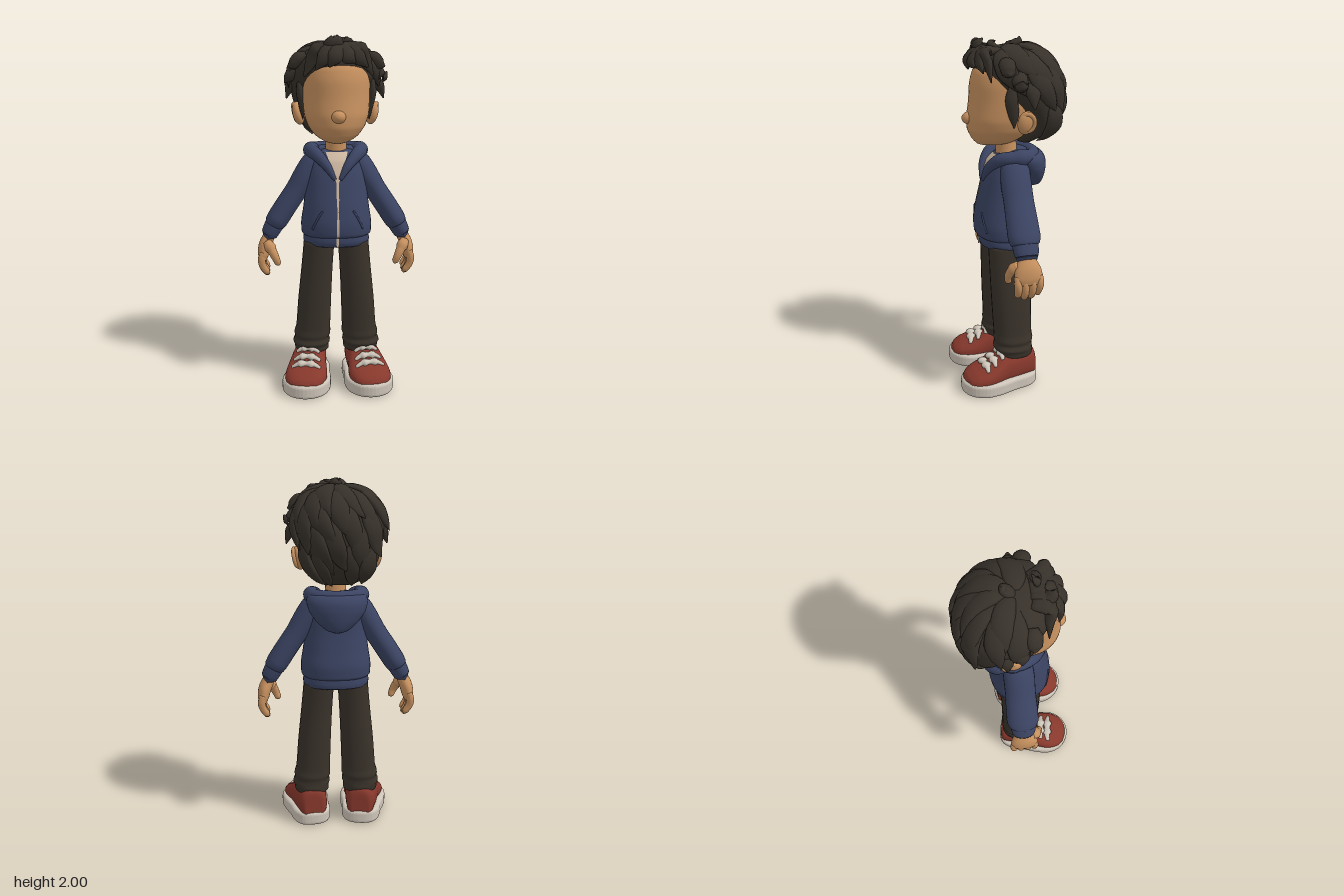
import * as THREE from 'three';

const mat = (name, color) => Object.assign(new THREE.MeshStandardMaterial({ color }), { name });
const V = (x, y, z) => new THREE.Vector3(x, y, z);

// Smooth curves through sections [x, y, z, a, b]
const curves = (secs) => ({
  path: new THREE.CatmullRomCurve3(secs.map(s => V(s[0], s[1], s[2]))),
  size: new THREE.CatmullRomCurve3(secs.map(s => V(s[3], s[4] ?? s[3], 0))),
});

// Skin a closed form over elliptical sections; a runs along "side", b across it.
// With an axis given, all rings stay square to it instead of following the path.
function sweep(secs, { side = V(1, 0, 0), axis, p = 2, step = 5, seg = 24 } = {}) {
  const { path, size } = curves(secs), n = (secs.length - 1) * step;
  const pos = [], idx = [];
  for (let i = 0; i <= n; i++) {
    const c = path.getPoint(i / n), r = size.getPoint(i / n);
    const T = axis ?? path.getTangent(i / n);
    const N = T.clone().cross(side).normalize(), S = N.clone().cross(T).normalize();
    for (let j = 0; j < seg; j++) {
      const q = j / seg * Math.PI * 2, k = (v) => Math.sign(v) * Math.abs(v) ** (2 / p);
      const v = c.clone().addScaledVector(S, Math.max(r.x, 0.001) * k(Math.cos(q)))
        .addScaledVector(N, Math.max(r.y, 0.001) * k(Math.sin(q)));
      pos.push(v.x, v.y, v.z);
      const a = i * seg + j, b = i * seg + (j + 1) % seg;
      if (i < n) idx.push(a, b, a + seg, b, b + seg, a + seg);
    }
  }
  const bottom = pos.length / 3, top = bottom + 1;
  for (const t of [0, 1]) pos.push(...path.getPoint(t).toArray());
  for (let j = 0; j < seg; j++) {
    const k = (j + 1) % seg;
    idx.push(bottom, k, j, top, n * seg + j, n * seg + k);
  }
  const g = new THREE.BufferGeometry();
  g.setAttribute('position', new THREE.Float32BufferAttribute(pos, 3));
  g.setIndex(idx);
  g.computeVertexNormals();
  return g;
}

// Upright section from height, half width, front z, back z and centre x
const level = ([y, rx, zf, zb, cx = 0]) => [cx, y, (zf + zb) / 2, rx, (zf - zb) / 2];
const mirror = (secs, s) => secs.map(([x, ...rest]) => [s * x, ...rest]);
const UP = V(0, 1, 0), AHEAD = V(0, 0, 1);

export function createModel() {
  const skin = mat('skin', 0xc7915f), hairMat = mat('hair', 0x37312a), cloth = mat('hoodie', 0x3b4463);
  const trouser = mat('trousers', 0x39322a), red = mat('shoe red', 0x87382c);
  const white = mat('rubber white', 0xcdc4b8), cream = mat('shirt cream', 0xcfb9a2);
  const model = new THREE.Group();
  const add = (name, geo, material, parent = model) => {
    const m = new THREE.Mesh(geo, material);
    m.name = name;
    parent.add(m);
    return m;
  };
  const group = (name) => { const g = new THREE.Group(); g.name = name; model.add(g); return g; };
  const ball = (name, rx, ry, rz, material) =>
    add(name, new THREE.SphereGeometry(1, 24, 16).scale(rx, ry, rz), material);

  // Head, nose and neck
  add('head', sweep([[1.418, 0.03, 0.15, 0.04], [1.428, 0.07, 0.178, -0.02], [1.46, 0.12, 0.208, -0.08],
    [1.51, 0.157, 0.23, -0.12], [1.57, 0.178, 0.232, -0.14], [1.64, 0.185, 0.222, -0.17], [1.74, 0.186, 0.214, -0.18],
    [1.82, 0.175, 0.195, -0.17], [1.89, 0.12, 0.13, -0.12], [1.91, 0.04, 0.04, -0.04]].map(level),
  { axis: UP, seg: 40 }), skin);
  ball('nose', 0.04, 0.036, 0.045, skin).position.set(0, 1.57, 0.215);
  add('neck', sweep([[0, 1.3, 0.01, 0.075], [0, 1.36, 0.01, 0.06], [0, 1.47, 0.015, 0.058]]), skin);

  // Hoodie body with its hem band
  const torso = [[0.885, 0.175, 0.16, -0.135], [0.905, 0.198, 0.19, -0.152], [0.96, 0.2, 0.197, -0.155],
    [1.05, 0.187, 0.187, -0.14], [1.15, 0.175, 0.165, -0.125], [1.25, 0.165, 0.14, -0.12],
    [1.32, 0.148, 0.113, -0.115], [1.365, 0.1, 0.075, -0.1], [1.38, 0.05, 0.04, -0.06]].map(level);
  add('hoodieBody', sweep(torso, { axis: UP, p: 2.3, seg: 40 }), cloth);
  add('hoodieHem', sweep([[0.835, 0.17, 0.15, -0.125], [0.842, 0.184, 0.166, -0.142], [0.865, 0.189, 0.175, -0.146],
    [0.89, 0.186, 0.175, -0.144], [0.91, 0.17, 0.16, -0.13]].map(level), { axis: UP, p: 2.3, seg: 40 }), cloth);

  // Depth of the hoodie front at a given point
  const shape = curves(torso);
  const frontZ = (x, y) => {
    let lo = 0, hi = 1;
    for (let i = 0; i < 24; i++) {
      const m = (lo + hi) / 2;
      if (shape.path.getPoint(m).y < y) lo = m; else hi = m;
    }
    const r = shape.size.getPoint(lo);
    return shape.path.getPoint(lo).z + r.y * Math.max(0, 1 - Math.abs(x / r.x) ** 2.3) ** (1 / 2.3);
  };
  // Thin panel hugging the hoodie front
  const panel = (name, y0, y1, halfWidth, material, lift) => {
    const g = new THREE.PlaneGeometry(1, 1, 6, 24), a = g.attributes.position;
    for (let i = 0; i < a.count; i++) {
      const v = a.getY(i) + 0.5, x = a.getX(i) * 2 * halfWidth(v), y = y0 + (y1 - y0) * v;
      a.setXYZ(i, x, y, frontZ(x, y) + lift);
    }
    g.computeVertexNormals();
    add(name, g, material);
  };
  panel('shirt', 1.2, 1.365, v => 0.006 + 0.055 * v, cream, 0.006);
  panel('zip', 0.9, 1.22, v => 0.007 - 0.004 * Math.exp(-(((v - 0.45) / 0.12) ** 2)), cream, 0.005);
  add('zipEnd', new THREE.BoxGeometry(0.014, 0.065, 0.008).translate(0, 0.873, 0.174), cream);

  // Collar roll and the hood hanging behind
  const half = [[0.014, 1.22, 0.152, 0.01], [0.06, 1.295, 0.128, 0.026], [0.113, 1.352, 0.075, 0.036],
    [0.138, 1.362, 0, 0.04], [0.118, 1.362, -0.09, 0.04]];
  add('collar', sweep([...half, [0, 1.36, -0.135, 0.04], ...mirror(half, -1).reverse()],
    { side: UP, seg: 16 }), cloth);
  add('hood', sweep([[1.165, 0.02, -0.1, -0.15], [1.18, 0.06, -0.07, -0.185], [1.23, 0.118, -0.04, -0.203],
    [1.29, 0.158, -0.01, -0.21], [1.34, 0.17, 0.02, -0.205], [1.375, 0.155, 0.02, -0.18],
    [1.385, 0.09, 0, -0.13]].map(level), { axis: UP, seg: 36 }), cloth);

  for (const s of [1, -1]) {
    const tag = s > 0 ? 'left' : 'right', Z = { side: AHEAD };

    // Ear with a soft raised rim, leaning out at the top
    const ear = ball(tag + 'Ear', 0.032, 0.066, 0.052, skin);
    ear.position.set(s * 0.208, 1.57, -0.045);
    ear.rotation.set(0, s * 0.25, -s * 0.2);
    const rim = add(tag + 'EarRim', new THREE.TorusGeometry(0.038, 0.011, 10, 28).scale(1, 1.25, 1), skin);
    rim.position.set(s * 0.224, 1.573, -0.047);
    rim.rotation.set(0, s * (Math.PI / 2 - 0.25), -s * 0.2, 'ZYX');

    // Pocket welt
    add(tag + 'Pocket', sweep([[0.085, 1.05], [0.115, 1.0], [0.14, 0.945]].map(([x, y]) =>
      [s * x, y, frontZ(x, y), 0.006, 0.006]), { seg: 8 }), cloth);

    // Sleeve, gathered above a cuff
    add(tag + 'Sleeve', sweep(mirror([[0.08, 1.34, -0.01, 0.05, 0.03], [0.125, 1.305, -0.005, 0.08, 0.062],
      [0.17, 1.23, 0, 0.085, 0.068], [0.225, 1.14, 0, 0.084, 0.063], [0.285, 1.05, 0, 0.088, 0.063],
      [0.33, 0.98, 0, 0.09, 0.063], [0.352, 0.945, 0, 0.08, 0.058], [0.36, 0.93, 0, 0.05, 0.04]], s), Z), cloth);
    add(tag + 'Cuff', sweep(mirror([[0.345, 0.955, 0, 0.06, 0.045], [0.352, 0.943, 0, 0.072, 0.054],
      [0.375, 0.9, 0, 0.068, 0.05], [0.385, 0.882, 0, 0.06, 0.045], [0.383, 0.886, 0, 0.045, 0.035]], s), Z), cloth);

    // Hand: palm, four curled fingers and a thumb
    const hand = group(tag + 'Hand');
    add('palm', sweep(mirror([[0.365, 0.92, 0, 0.04, 0.032], [0.386, 0.87, 0, 0.05, 0.034],
      [0.408, 0.82, 0, 0.073, 0.037], [0.418, 0.775, 0, 0.08, 0.034], [0.422, 0.74, 0, 0.07, 0.024]], s), Z), skin, hand);
    for (const [z, drop] of [[-0.062, 0.02], [-0.022, 0.005], [0.02, 0], [0.06, 0.015]])
      add('finger', sweep(mirror([[0.418, 0.79, z, 0.018], [0.428, 0.745, z, 0.022], [0.422, 0.695 + drop, z * 0.95, 0.021],
        [0.4, 0.66 + drop, z * 0.9, 0.019], [0.388, 0.648 + drop, z * 0.9, 0.009]], s), { ...Z, seg: 12 }), skin, hand);
    add('thumb', sweep(mirror([[0.395, 0.845, 0.045, 0.026], [0.368, 0.805, 0.08, 0.026], [0.348, 0.765, 0.093, 0.022],
      [0.335, 0.733, 0.09, 0.018], [0.331, 0.722, 0.088, 0.008]], s), { ...Z, seg: 14 }), skin, hand);

    // Trouser leg with folds gathered at the ankle
    add(tag + 'TrouserLeg', sweep(mirror([[0.185, 0.085, 0.09, -0.085, 0.142], [0.195, 0.1, 0.11, -0.1, 0.143],
      [0.22, 0.101, 0.115, -0.103, 0.145], [0.24, 0.108, 0.125, -0.1, 0.145], [0.265, 0.1, 0.118, -0.1, 0.142],
      [0.29, 0.106, 0.122, -0.105, 0.14], [0.33, 0.1, 0.12, -0.1, 0.135], [0.5, 0.096, 0.128, -0.1, 0.125],
      [0.7, 0.09, 0.135, -0.1, 0.11], [0.87, 0.088, 0.14, -0.11, 0.096]].map(level), s),
    { axis: UP, p: 2.3 }), trouser);

    // Shoe, toes turned out
    const shoe = group(tag + 'Shoe');
    shoe.position.x = s * 0.152;
    shoe.rotation.y = s * 0.16;
    const outline = new THREE.Shape();
    const edge = [[0, -0.312], [0.07, -0.288], [0.112, -0.225], [0.117, -0.15], [0.098, -0.04], [0.088, 0.045],
      [0.06, 0.09], [0, 0.104]];
    const side = edge.slice(1, -1).reverse().map(([x, y]) => [-x, y]);
    outline.setFromPoints(new THREE.CatmullRomCurve3([...edge, ...side].map(([x, y]) => V(x, y, 0)), true)
      .getPoints(56).slice(0, -1).map(v => new THREE.Vector2(v.x, v.y)));
    add('sole', new THREE.ExtrudeGeometry(outline, { depth: 0.04, bevelSize: 0.02, bevelThickness: 0.02, bevelSegments: 4 })
      .rotateX(-Math.PI / 2).translate(0, 0.02, 0), white, shoe);
    const upper = [[-0.113, 0.13, 0.035], [-0.11, 0.2, 0.06], [-0.09, 0.222, 0.08], [0.03, 0.228, 0.098], [0.09, 0.215, 0.103],
      [0.15, 0.177, 0.115], [0.21, 0.147, 0.119], [0.265, 0.126, 0.103], [0.3, 0.105, 0.073], [0.316, 0.085, 0.03]];
    add('upper', sweep(upper.map(([z, top, a]) => [0, (top + 0.03) / 2, z, a, (top - 0.03) / 2]),
      { axis: AHEAD, p: 2.4, seg: 32 }), red, shoe);
    for (const [z, y, w] of [[0.1, 0.215, 0.06], [0.148, 0.184, 0.07], [0.195, 0.16, 0.076]])
      add('lace', sweep([[-w - 0.006, y - 0.022, z + 0.004, 0.01, 0.008], [-w * 0.6, y - 0.002, z, 0.018, 0.013],
        [0, y + 0.003, z, 0.018, 0.013], [w * 0.6, y - 0.002, z, 0.018, 0.013], [w + 0.006, y - 0.022, z + 0.004, 0.01, 0.008]],
      { side: AHEAD, seg: 12 }), white, shoe);
  }

  // Hair mass
  const hair = group('hair');
  const mass = [[1.43, 0.08, -0.05, -0.13], [1.48, 0.155, -0.05, -0.21], [1.55, 0.198, -0.06, -0.255],
    [1.62, 0.222, 0, -0.28], [1.7, 0.24, 0.1, -0.29], [1.78, 0.243, 0.16, -0.28], [1.85, 0.217, 0.185, -0.245],
    [1.91, 0.165, 0.155, -0.185], [1.945, 0.09, 0.1, -0.12], [1.955, 0.03, 0.03, -0.05]].map(r => level([...r, -0.01]));
  add('hairMass', sweep(mass, { axis: UP, seg: 36 }), hairMat, hair);

  // Rows of long overlapping locks, swirling down from the crown to lifted tips
  const { path, size } = curves(mass);
  const onHair = (f, u, out) => {
    const c = path.getPoint(u), r = size.getPoint(u);
    return [c.x + (r.x + out) * Math.sin(f), c.y + out * (u - 0.5) * 0.8, c.z + (r.y + out) * Math.cos(f)];
  };
  let seed = 7;
  const rand = () => (seed = (seed * 16807) % 2147483647) / 2147483647;
  const rows = [[1, 0.6, 7], [0.88, 0.46, 10], [0.74, 0.32, 12], [0.58, 0.18, 12], [0.4, 0.05, 10]];
  rows.forEach(([u0, u1, count], row) => {
    for (let i = 0; i < count; i++) {
      const f = ((i + row * 0.5 + rand() * 0.4) / count) * Math.PI * 2 - Math.PI, turn = 0.2 + rand() * 0.3;
      const w = 0.046 + rand() * 0.016, end = u1 + (rand() - 0.5) * 0.06;
      const tip = Math.abs(Math.atan2(Math.sin(f + turn), Math.cos(f + turn))), near = Math.min(tip, Math.abs(f));
      if (end < (near < 0.85 ? 0.63 : near < 1.25 ? 0.46 : near < 2 ? 0.33 : 0)) continue;
      const flick = 0.012 + rand() * 0.022;
      const secs = [[0, -0.012, 0.5], [0.25, 0.004, 0.9], [0.55, 0.01, 1], [0.82, 0.012, 0.65], [1, flick, 0.06]]
        .map(([k, out, r]) => [...onHair(f + turn * k * k, u0 + (end - u0) * k, out), w * r, 0.023 * r]);
      add('lock', sweep(secs, { side: V(Math.cos(f), 0, -Math.sin(f)), step: 3, seg: 10 }), hairMat, hair);
    }
  });

  // Fringe swept to both sides over the forehead
  const lock = (name, pts, w, t) => add(name, sweep(pts.map((q, i) => {
    const r = [0.6, 1, 0.85, 0.1][i];
    return [...q, w * r, t * r];
  }), { step: 4, seg: 12 }), hairMat, hair);
  for (const [x, dx, y, z] of [[0.1, 0.09, 1.785, 0.14], [0.07, 0.09, 1.83, 0.175], [0.03, 0.06, 1.85, 0.205],
    [0, -0.05, 1.83, 0.215], [-0.04, -0.08, 1.815, 0.195], [-0.09, -0.09, 1.78, 0.14]])
    lock('fringeLock', [[x * 0.7, 1.935, 0.07], [x, 1.93, 0.155], [x + dx * 0.4, 1.88, z + 0.005], [x + dx, y, z]], 0.05, 0.03);

  // Sideburns and tufts flicking out at the temples
  for (const s of [1, -1]) {
    lock('sideburn', [[s * 0.2, 1.76, 0.03], [s * 0.2, 1.69, 0.035], [s * 0.188, 1.61, 0.02], [s * 0.184, 1.54, 0.015]], 0.022, 0.035);
    for (const [y, x, tipY, z] of [[1.84, 0.265, 1.83, 0.06], [1.77, 0.285, s > 0 ? 1.8 : 1.74, 0], [1.72, 0.275, 1.65, -0.07]])
      lock('sideTuft', [[s * (x - 0.1), y + 0.05, z], [s * (x - 0.06), y + 0.035, z], [s * (x - 0.025), y, z], [s * x, tipY, z]], 0.035, 0.045);
  }
  // Curls on the crown
  lock('frontCurl', [[-0.06, 1.92, 0.1], [-0.035, 1.945, 0.16], [-0.005, 1.965, 0.165], [-0.02, 1.99, 0.135]], 0.045, 0.03);
  lock('topCurl', [[0.08, 1.92, 0.07], [0.06, 1.955, 0.1], [0.03, 1.965, 0.105], [0.06, 1.985, 0.085]], 0.03, 0.022);
  lock('crownTuft', [[-0.02, 1.93, 0], [0, 1.955, -0.03], [0.01, 1.975, -0.055], [0.01, 1.998, -0.06]], 0.035, 0.025);
  return model;
}
